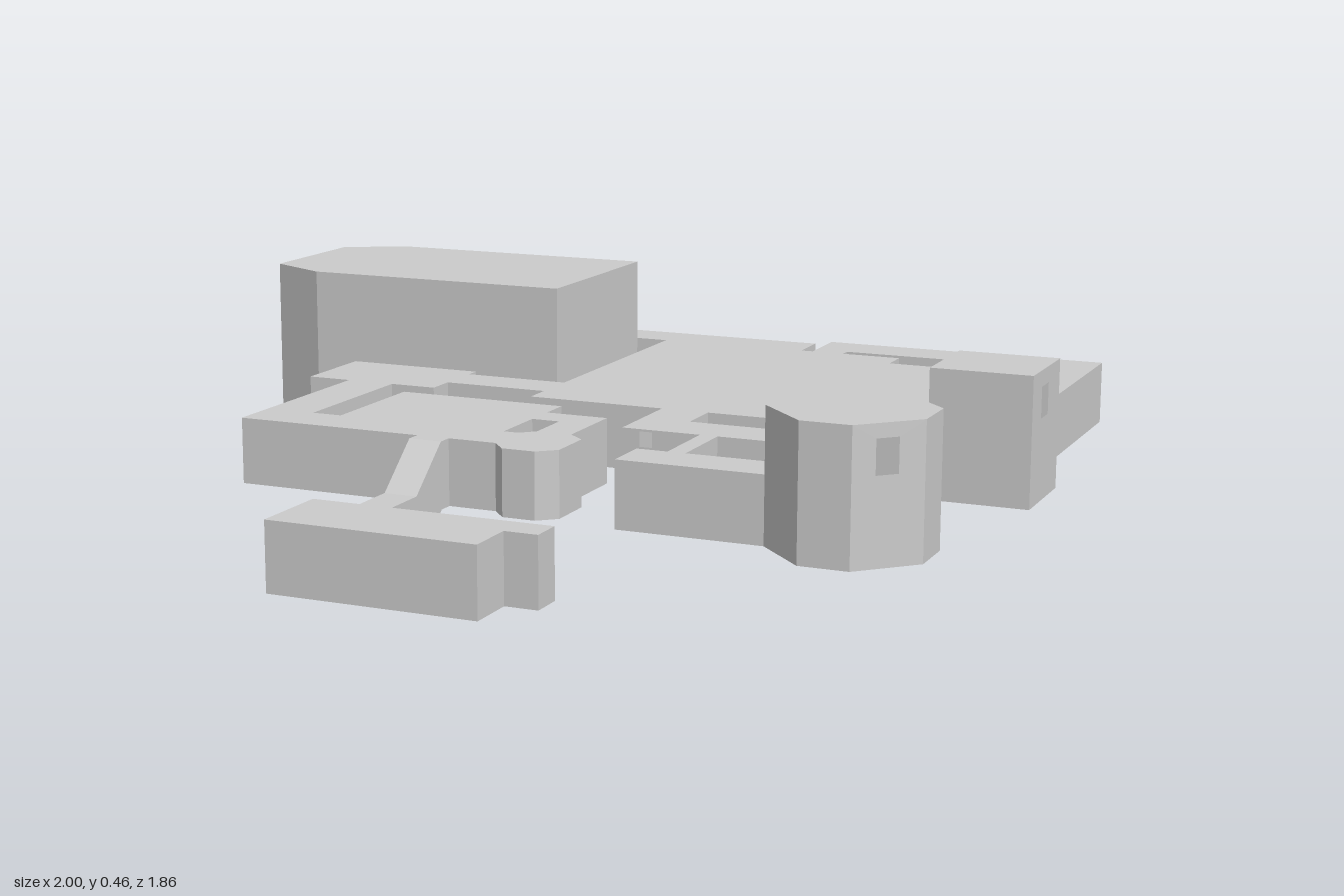
import * as THREE from 'three';
import { mergeGeometries } from 'three/addons/utils/BufferGeometryUtils.js';

const material = new THREE.MeshStandardMaterial({ color: 0xcccccc, flatShading: true, side: THREE.DoubleSide });
const vec = ([a, b]) => new THREE.Vector2(a, b);
const rect = (x0, z0, x1, z1) => [[x0, z0], [x1, z0], [x1, z1], [x0, z1]];

// One upright wall from plan point a to b, cut by any window lying on it
function wall(a, b, y0, y1, windows) {
  const p = vec(a), dir = vec(b).sub(p), len = dir.length();
  dir.normalize();
  const shape = new THREE.Shape(rect(0, y0, len, y1).map(vec));
  for (const w of windows) {
    const d = new THREE.Vector2(w.x, w.z).sub(p);
    const u = d.dot(dir), off = Math.abs(d.cross(dir));
    if (off < 0.01 && u > w.w / 2 && u < len - w.w / 2) {
      shape.holes.push(new THREE.Path(rect(u - w.w / 2, w.y0, u + w.w / 2, w.y1).map(vec)));
    }
  }
  const m = new THREE.Matrix4().makeBasis(
    new THREE.Vector3(dir.x, 0, dir.y),
    new THREE.Vector3(0, 1, 0),
    new THREE.Vector3(-dir.y, 0, dir.x));
  m.setPosition(a[0], 0, a[1]);
  return new THREE.ShapeGeometry(shape).applyMatrix4(m);
}

// Hollow room from a plan outline (x, z), with optional courtyards and windows
function room(name, outline, y0, y1, { courts = [], windows = [] } = {}) {
  const plan = (flip) => {
    const pts = (loop) => loop.map(([x, z]) => new THREE.Vector2(x, flip * z));
    const s = new THREE.Shape(pts(outline));
    s.holes = courts.map((c) => new THREE.Path(pts(c)));
    return new THREE.ShapeGeometry(s);
  };
  const parts = [
    plan(-1).rotateX(-Math.PI / 2).translate(0, y1, 0),
    plan(1).rotateX(Math.PI / 2).translate(0, y0, 0),
  ];
  for (const loop of [[...outline].reverse(), ...courts]) {
    loop.forEach((a, i) => parts.push(wall(a, loop[(i + 1) % loop.length], y0, y1, windows)));
  }
  const mesh = new THREE.Mesh(mergeGeometries(parts), material);
  mesh.name = name;
  return mesh;
}

export function createModel() {
  const group = new THREE.Group();
  group.name = 'buildingComplex';
  const F = 0.1, C = 0.247; // floor and ceiling of the main storey

  // Central block with its back corridors and front loop
  group.add(room('mainBlock', [
    [-0.71, -0.89], [0.2, -0.89], [0.2, -0.785], [0.23, -0.785], [0.23, -0.93], [0.925, -0.93],
    [0.925, -0.205], [0.845, -0.205], [0.845, -0.815], [0.31, -0.815], [0.31, -0.785],
    [0.455, -0.785], [0.455, -0.71], [0.78, -0.71], [0.78, -0.275], [0.6, -0.275], [0.6, 0.235],
    [0.16, 0.235], [0.16, 0.015], [-0.165, 0.015], [-0.165, -0.055], [-0.415, -0.055],
    [-0.415, -0.165], [-0.165, -0.165], [-0.165, -0.78], [-0.6, -0.78], [-0.6, -0.675], [-0.71, -0.675],
  ], F, C, {
    courts: [[[0.455, -0.275], [0.485, -0.275], [0.485, 0.12], [0.27, 0.12], [0.27, 0.015], [0.455, 0.015]]],
    windows: [{ x: 0.215, z: 0.235, w: 0.03, y0: 0.208, y1: 0.242 }],
  }));

  // Tall hall with chamfered end
  group.add(room('greatHall', [
    [-1, -0.6], [-0.85, -0.675], [-0.2, -0.675], [-0.2, -0.2], [-0.85, -0.2], [-1, -0.275],
  ], F, 0.462));

  // Front wing: anteroom, corridor, room and small turret
  group.add(room('frontWing', [
    [-0.745, -0.2], [-0.415, -0.2], [-0.415, 0.015], [-0.525, 0.015], [-0.525, 0.375],
    [-0.455, 0.375], [-0.455, 0.085], [-0.055, 0.085], [-0.055, 0.16], [0.09, 0.16], [0.09, 0.345],
    [0.13, 0.38], [0.13, 0.49], [0.09, 0.525], [0.015, 0.525], [-0.02, 0.485], [-0.13, 0.485],
    [-0.13, 0.52], [-0.205, 0.52], [-0.205, 0.485], [-0.64, 0.485], [-0.64, 0.015], [-0.745, 0.015],
  ], F, C, {
    courts: [[[-0.055, 0.235], [0.01, 0.235], [0.01, 0.345], [-0.02, 0.375], [-0.055, 0.375]]],
    windows: [{ x: -0.428, z: 0.485, w: 0.036, y0: 0.185, y1: 0.232 }],
  }));

  // Square tower
  group.add(room('squareTower', rect(0.775, -0.205, 1, 0.015), F, 0.388, {
    windows: [{ x: 1, z: -0.085, w: 0.055, y0: 0.283, y1: 0.352 }],
  }));

  // Octagonal tower
  group.add(room('octagonTower', [
    [0.705, 0.3], [0.813, 0.3], [0.925, 0.412], [0.925, 0.523],
    [0.813, 0.635], [0.705, 0.635], [0.595, 0.523], [0.595, 0.412],
  ], F, 0.388, { windows: [{ x: 0.867, z: 0.581, w: 0.05, y0: 0.285, y1: 0.358 }] }));

  // Passages linking the towers
  group.add(room('sidePassage', [
    [0.34, 0.235], [0.38, 0.235], [0.38, 0.412], [0.595, 0.412], [0.595, 0.523], [0.27, 0.523],
    [0.27, 0.412], [0.34, 0.412],
  ], F, C));
  group.add(room('towerPassage', [
    [0.63, -0.132], [0.775, -0.132], [0.775, -0.055], [0.743, -0.055], [0.743, 0.085],
    [0.813, 0.085], [0.813, 0.3], [0.705, 0.3], [0.705, -0.055], [0.63, -0.055],
  ], F, C));

  // Sunken room and the sloping passage down to it
  group.add(room('lowerRoom', [
    [-0.205, 0.63], [-0.13, 0.63], [-0.13, 0.735], [0.235, 0.735], [0.235, 0.81],
    [0.16, 0.81], [0.16, 0.925], [-0.315, 0.925], [-0.315, 0.735], [-0.205, 0.735],
  ], 0, 0.153));
  const slope = new THREE.Shape([[0.52, F], [0.63, 0], [0.63, 0.153], [0.52, C]].map(vec));
  const ramp = new THREE.Mesh(
    new THREE.ExtrudeGeometry(slope, { depth: 0.075, bevelEnabled: false }).rotateY(-Math.PI / 2), material);
  ramp.position.x = -0.13;
  ramp.name = 'slopingPassage';
  group.add(ramp);

  return group;
}
